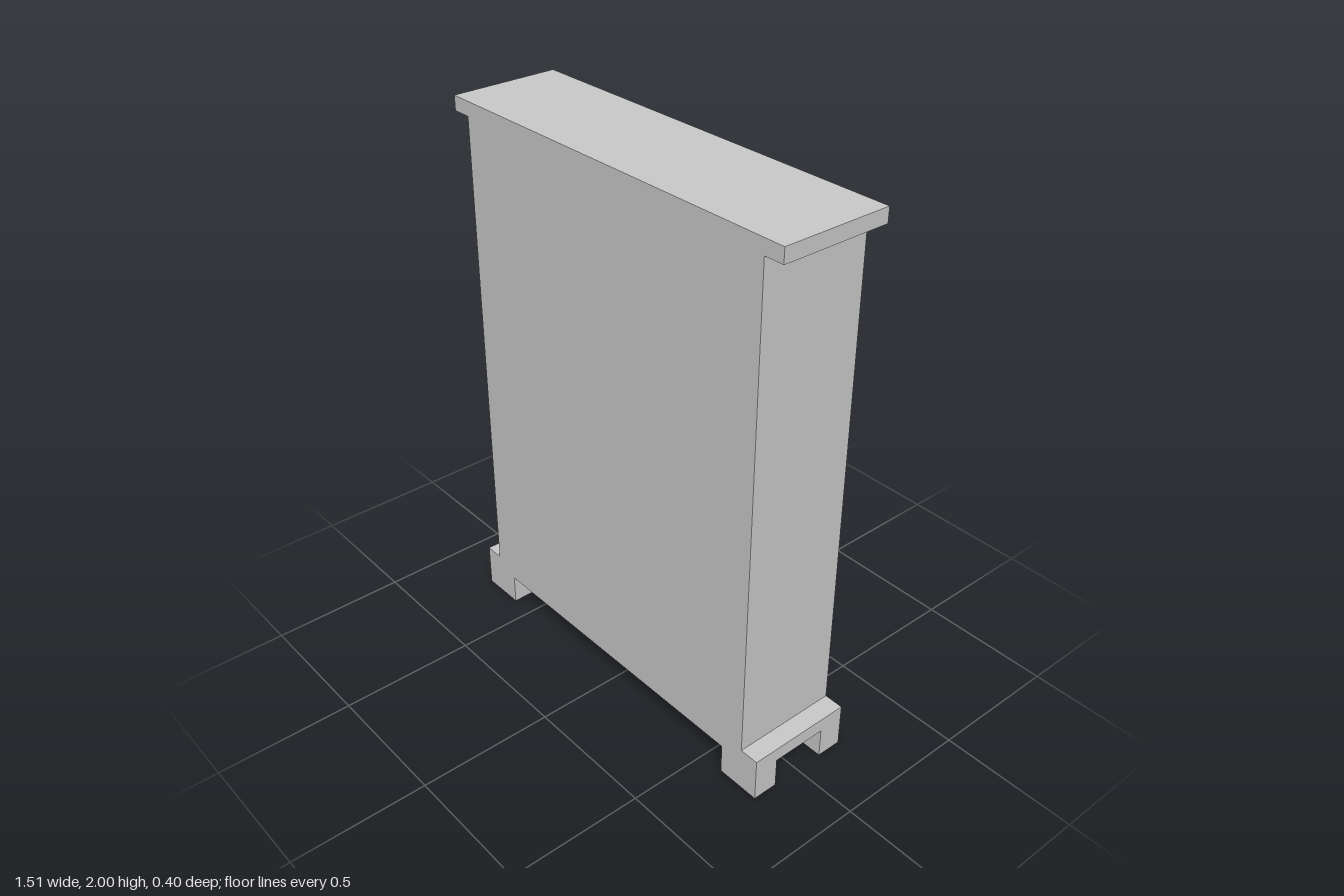
import * as THREE from 'three';

export function createModel() {
  const group = new THREE.Group();
  const material = new THREE.MeshStandardMaterial({ color: 0xcccccc, flatShading: true });

  const bodyHalf = 0.685, bodyBottom = 0.165, bodyTop = 1.95;
  const slabHalf = 0.757, halfDepth = 0.2;
  const nicheHalf = 0.545, nicheHeight = 0.364, nicheDepth = 0.31, rail = 0.173;

  function add(name, geometry, x, y, z) {
    const mesh = new THREE.Mesh(geometry, material);
    mesh.name = name;
    mesh.position.set(x, y, z);
    group.add(mesh);
  }

  function rectangle(target, x, y0, y1) {
    target.moveTo(-x, y0);
    target.lineTo(x, y0);
    target.lineTo(x, y1);
    target.lineTo(-x, y1);
    target.closePath();
    return target;
  }

  // Case with three shelf openings on its -z side
  const frame = rectangle(new THREE.Shape(), bodyHalf, bodyBottom, bodyTop);
  for (let i = 0; i < 3; i++) {
    const y = bodyBottom + rail + i * (nicheHeight + rail);
    frame.holes.push(rectangle(new THREE.Path(), nicheHalf, y, y + nicheHeight));
  }
  add('shelfFrame', new THREE.ExtrudeGeometry(frame, { depth: nicheDepth, bevelEnabled: false }), 0, 0, -halfDepth);

  // Closed panel behind the shelves
  const panelDepth = 2 * halfDepth - nicheDepth;
  add('closedPanel', new THREE.BoxGeometry(2 * bodyHalf, bodyTop - bodyBottom, panelDepth),
    0, (bodyTop + bodyBottom) / 2, halfDepth - panelDepth / 2);

  // Overhanging top and base boards
  const board = new THREE.BoxGeometry(2 * slabHalf, 0.052, 2 * halfDepth);
  add('topBoard', board, 0, 1.974, 0);
  add('baseBoard', board, 0, 0.139, 0);

  // Four block feet flush with the corners
  const foot = new THREE.BoxGeometry(0.165, 0.113, 0.095);
  for (const sx of [-1, 1]) {
    for (const sz of [-1, 1]) {
      add((sz > 0 ? 'front' : 'back') + (sx > 0 ? 'Left' : 'Right') + 'Foot', foot,
        sx * (slabHalf - 0.0825), 0.0565, sz * (halfDepth - 0.0475));
    }
  }
  return group;
}
